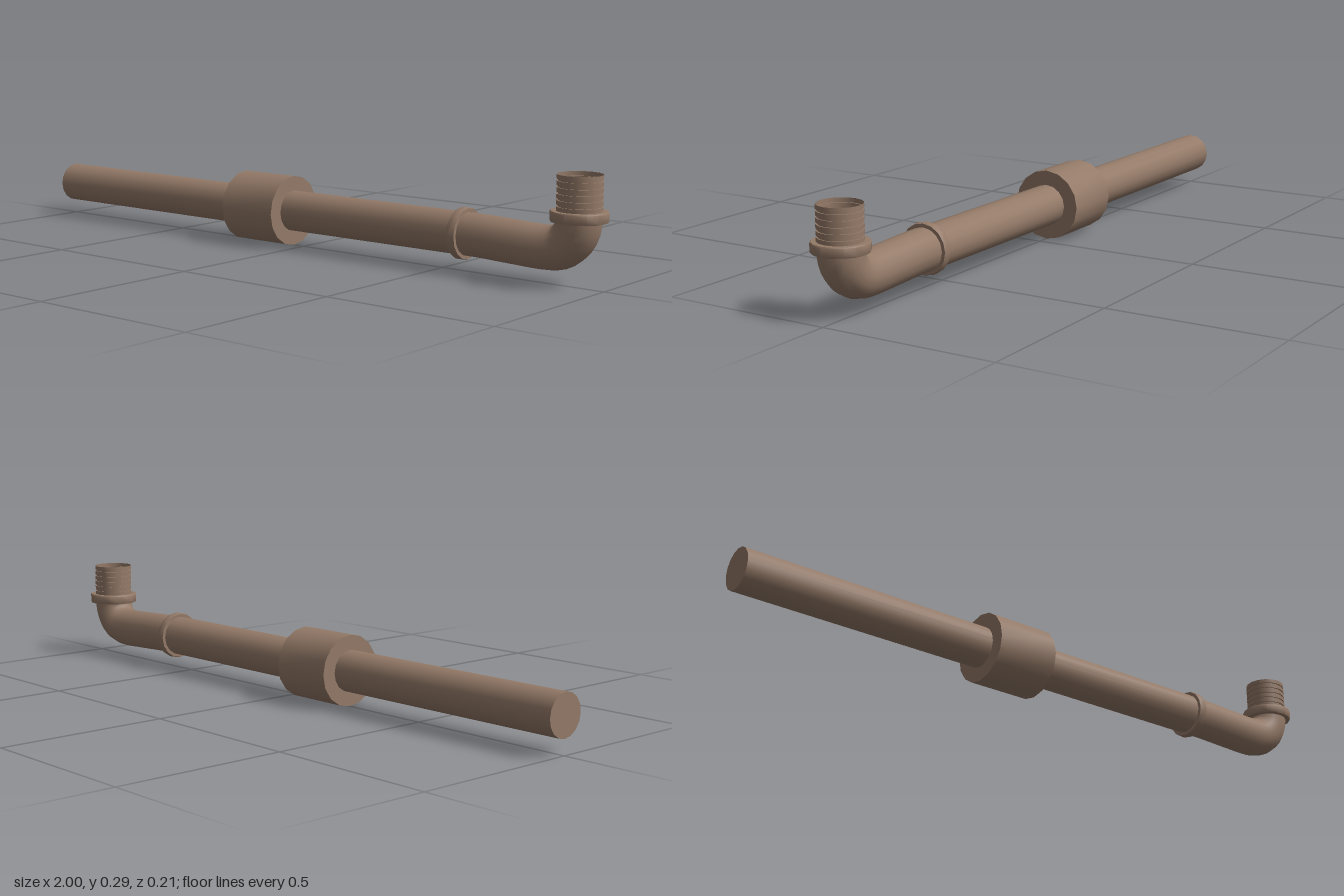
import * as THREE from 'three';
import { toCreasedNormals } from 'three/addons/utils/BufferGeometryUtils.js';

const SIDES = 16;
const AXIS_Y = 0.105;   // height of the horizontal run
const OUTLET_X = 0.923; // axis of the upright outlet
const PIPE_R = 0.06;

export function createModel() {
  const group = new THREE.Group();
  group.name = 'pipeAssembly';
  const brown = new THREE.MeshStandardMaterial({ color: 0x947a68, side: THREE.DoubleSide });
  brown.name = 'pipeBrown';

  const add = (name, geometry) => {
    const mesh = new THREE.Mesh(geometry, brown);
    mesh.name = name;
    group.add(mesh);
    return mesh;
  };
  // profile of [radius, distance along the axis]
  const turned = (profile) => toCreasedNormals(
    new THREE.LatheGeometry(profile.map(([r, y]) => new THREE.Vector2(r, y)), SIDES), 0.6);
  const alongX = (name, profile) => {
    const mesh = add(name, turned(profile));
    mesh.rotation.z = -Math.PI / 2;
    mesh.position.y = AXIS_Y;
  };
  const upright = (name, profile) => {
    add(name, turned(profile)).position.x = OUTLET_X;
  };

  // Straight run with a closed far end
  alongX('mainPipe', [[0, -1], [PIPE_R, -1], [PIPE_R, 0.57]]);

  // Large coupling collar and small joint ring
  alongX('couplingCollar', [[PIPE_R, -0.23], [0.103, -0.23], [0.103, -0.038], [PIPE_R, -0.038]]);
  alongX('jointRing', [[PIPE_R, 0.558], [0.07, 0.558], [0.072, 0.564], [0.072, 0.577], [0.07, 0.583], [PIPE_R, 0.583]]);

  // Elbow: slight dip, then a quarter bend upwards
  const bendR = 0.082;
  const points = [[0.57, AXIS_Y], [0.64, AXIS_Y - 0.001], [0.74, 0.1]];
  for (let i = 0; i <= 4; i++) {
    const a = (i / 4) * Math.PI / 2;
    points.push([OUTLET_X - bendR + bendR * Math.sin(a), 0.18 - bendR * Math.cos(a)]);
  }
  points.push([OUTLET_X, 0.2]);
  const path = new THREE.CatmullRomCurve3(points.map(([x, y]) => new THREE.Vector3(x, y, 0)));
  add('elbow', new THREE.TubeGeometry(path, 28, PIPE_R, SIDES, false));

  // Flange at the foot of the outlet
  upright('outletFlange', [[PIPE_R, 0.175], [0.074, 0.175], [0.076, 0.179], [0.076, 0.2], [0.074, 0.203], [PIPE_R, 0.203]]);

  // Thin-walled ribbed outlet, open at the top
  const ribs = [];
  for (let i = 0; i < 6; i++) {
    const y = 0.202 + i * 0.0166;
    ribs.push([0.056, y], [PIPE_R, y], [PIPE_R, y + 0.012], [0.056, y + 0.012]);
  }
  ribs.pop(); // top rib ends at the rim
  upright('ribbedOutlet', ribs);

  return group;
}
